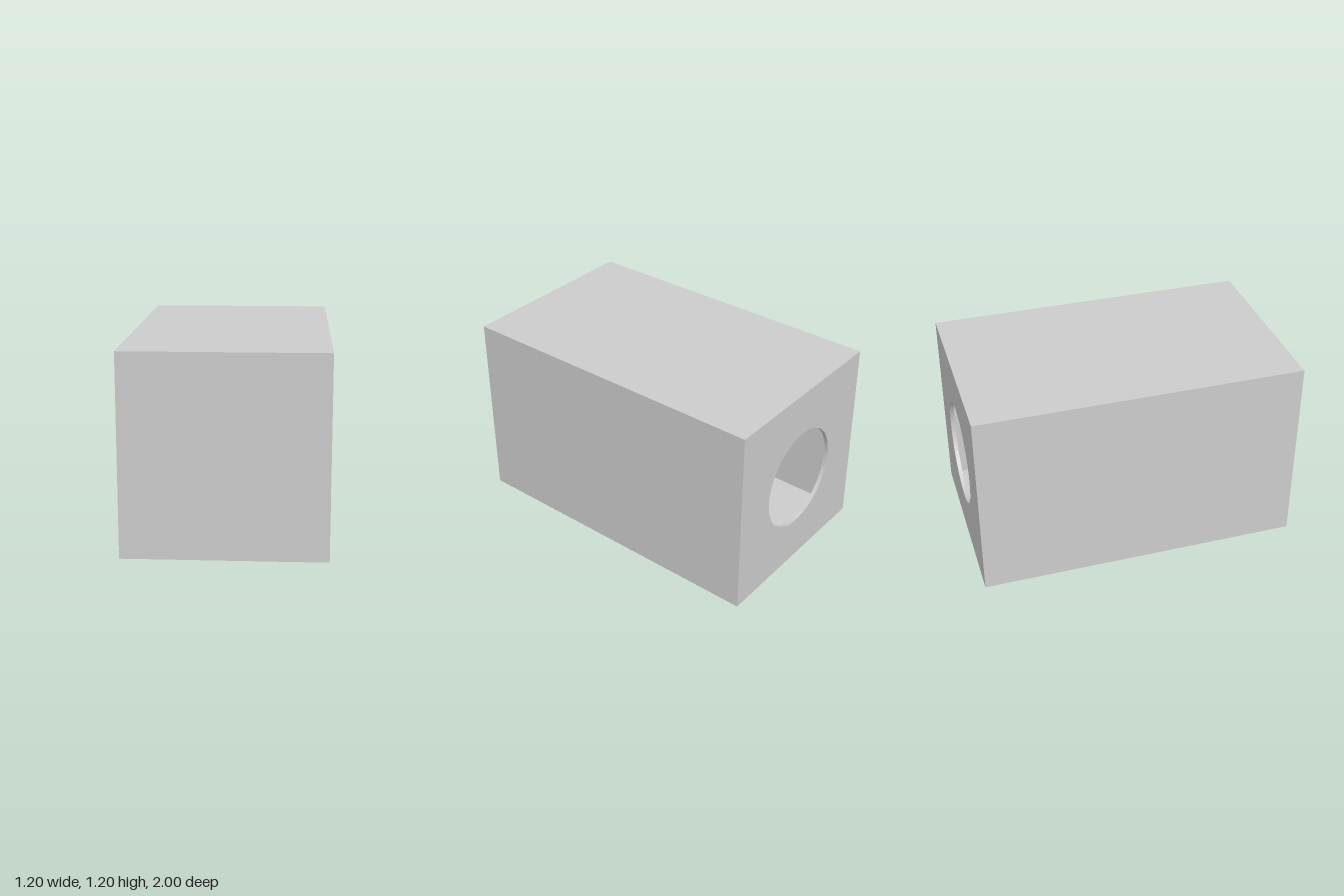
import * as THREE from 'three';

const W = 1.2, L = 2, T = 0.025; // outer width/height, length, wall thickness

export function createModel() {
  const root = new THREE.Group();
  const mat = new THREE.MeshStandardMaterial({ color: 0xcccccc });
  const add = (name, geo, x, y, z, parent = root) => {
    const m = new THREE.Mesh(geo, mat);
    m.name = name;
    m.position.set(x, y, z);
    parent.add(m);
    return m;
  };
  const square = (s, Type = THREE.Shape) => new Type([
    new THREE.Vector2(-s, -s), new THREE.Vector2(s, -s),
    new THREE.Vector2(s, s), new THREE.Vector2(-s, s),
  ]);
  const extrude = (shape, depth) =>
    new THREE.ExtrudeGeometry(shape, { depth, bevelEnabled: false, curveSegments: 32 });

  // Hollow housing: square sleeve, closed front, back with a round opening
  const sleeve = square(W / 2);
  sleeve.holes.push(square(W / 2 - T, THREE.Path));
  add('sleeve', extrude(sleeve, L - 2 * T), 0, W / 2, -L / 2 + T);
  add('frontPanel', new THREE.BoxGeometry(W, W, T), 0, W / 2, L / 2 - T / 2);
  const back = square(W / 2);
  back.holes.push(new THREE.Path().absarc(0, 0, 0.32, 0, Math.PI * 2, true));
  add('backPanel', extrude(back, T), 0, W / 2, -L / 2);

  // Upright cylinders in a row along both inner side walls
  const cylinder = new THREE.CylinderGeometry(0.08, 0.08, 0.77, 32);
  for (const side of [-1, 1]) {
    const row = new THREE.Group();
    row.name = side > 0 ? 'leftCylinderRow' : 'rightCylinderRow';
    for (let i = 0; i < 4; i++) add('cylinder', cylinder, side * 0.495, 0.593, -0.19 + i * 0.16, row);
    root.add(row);
  }

  // Small plate with ring sockets on the right inner wall
  const plate = new THREE.Group();
  plate.name = 'socketPlate';
  add('plate', new THREE.BoxGeometry(0.02, 0.2, 0.34), -0.565, 0.69, -0.49, plate);
  const ring = new THREE.TorusGeometry(0.025, 0.01, 8, 24).rotateY(Math.PI / 2);
  for (let i = 0; i < 4; i++) add('socketRing', ring, -0.553, 0.73, -0.61 + i * 0.08, plate);
  root.add(plate);

  return root;
}
